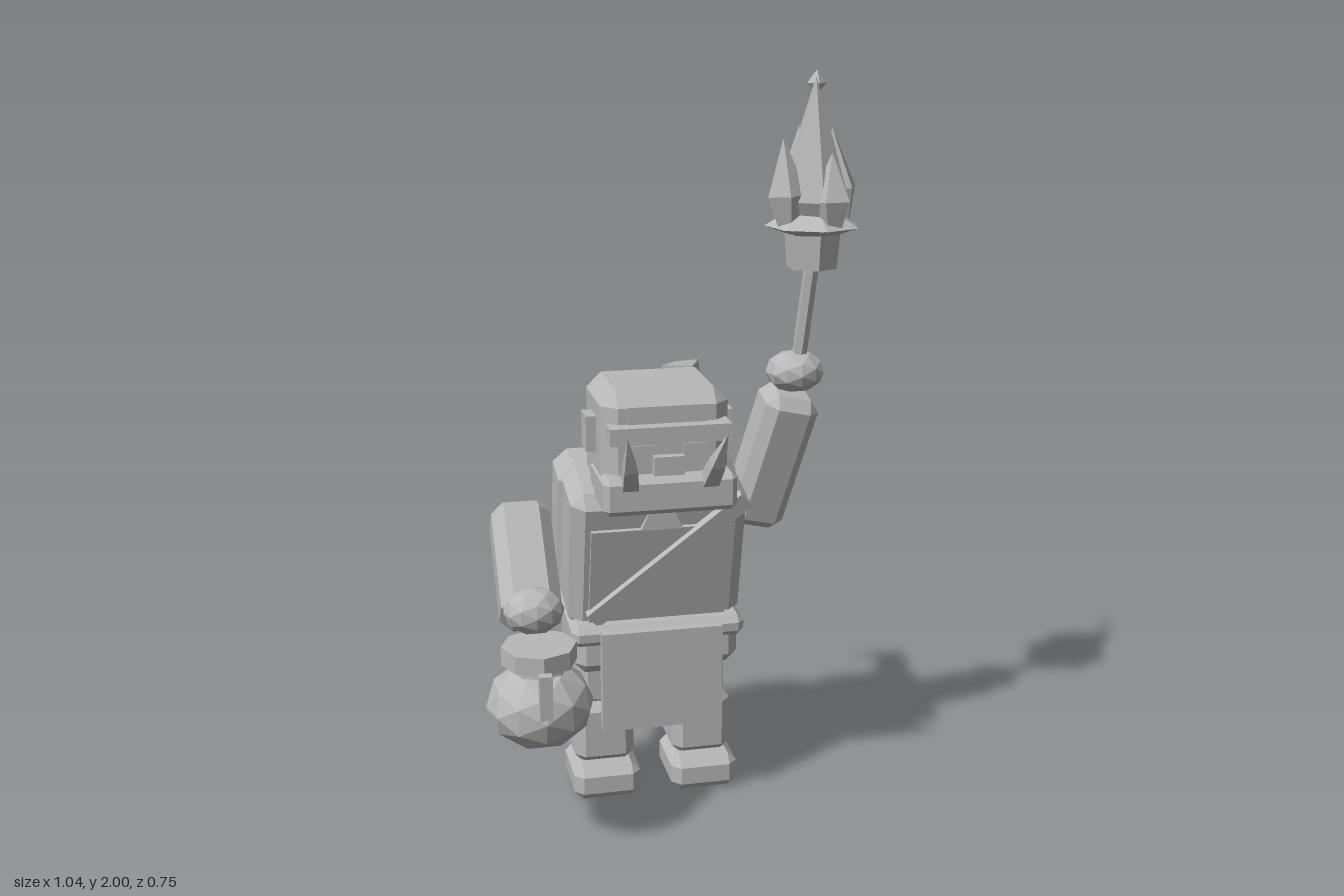
import * as THREE from 'three';
import { ConvexGeometry } from 'three/addons/geometries/ConvexGeometry.js';

const V = (x, y, z) => new THREE.Vector3(x, y, z);

export function createModel() {
  const model = new THREE.Group();
  const grey = new THREE.MeshStandardMaterial({ color: 0xb8b8b8, flatShading: true });
  grey.name = 'stone grey';

  function add(name, geometry, position, parent = model) {
    const mesh = new THREE.Mesh(geometry, grey);
    mesh.name = name;
    mesh.position.copy(position);
    parent.add(mesh);
    return mesh;
  }

  // box with every edge cut off by c
  function chamferBox(w, h, d, c) {
    const pts = [];
    for (const sx of [-1, 1]) for (const sy of [-1, 1]) for (const sz of [-1, 1]) {
      const x = w / 2, y = h / 2, z = d / 2;
      pts.push(V(sx * x, sy * (y - c), sz * (z - c)),
        V(sx * (x - c), sy * y, sz * (z - c)),
        V(sx * (x - c), sy * (y - c), sz * z));
    }
    return new ConvexGeometry(pts);
  }

  // block given by its limits on each axis
  function block(name, [x0, x1], [y0, y1], [z0, z1], c = 0, parent = model) {
    const size = [x1 - x0, y1 - y0, z1 - z0];
    const geometry = c ? chamferBox(...size, c) : new THREE.BoxGeometry(...size);
    return add(name, geometry, V((x0 + x1) / 2, (y0 + y1) / 2, (z0 + z1) / 2), parent);
  }

  // turns a mesh so that its y axis runs from a to b
  function aim(mesh, a, b) {
    mesh.position.copy(a).lerp(b, 0.5);
    mesh.quaternion.setFromUnitVectors(V(0, 1, 0), b.clone().sub(a).normalize());
    return mesh;
  }

  // bent spike: four-sided rings along a path, shrinking to a point
  function spike(name, path, radii) {
    const pos = [], index = [], n = 4;
    path.forEach((p, i) => {
      const dir = path[Math.min(i + 1, path.length - 1)].clone().sub(path[Math.max(i - 1, 0)]).normalize();
      const side = V(1, 0, 0).addScaledVector(dir, -dir.x).normalize();
      const up = dir.clone().cross(side);
      for (let k = 0; k < n; k++) {
        const a = (k + 0.5) / n * Math.PI * 2;
        const q = p.clone().addScaledVector(side, Math.cos(a) * radii[i]).addScaledVector(up, Math.sin(a) * radii[i]);
        pos.push(q.x, q.y, q.z);
        if (i) {
          const b = i * n + k, b2 = i * n + (k + 1) % n;
          index.push(b - n, b2 - n, b2, b - n, b2, b);
        }
      }
    });
    index.push(0, 2, 1, 0, 3, 2);
    const geometry = new THREE.BufferGeometry();
    geometry.setAttribute('position', new THREE.Float32BufferAttribute(pos, 3));
    geometry.setIndex(index);
    geometry.computeVertexNormals();
    return add(name, geometry, V(0, 0, 0));
  }

  // double-ended cone used for flames
  const flameShape = (r, h, sides, belly = 0.25) =>
    new THREE.LatheGeometry([[0.001, 0], [r * 0.55, 0.01], [r, h * belly], [0.001, h]]
      .map(p => new THREE.Vector2(...p)), sides);

  // legs
  for (const x of [-0.17, 0.11]) {
    block('boot', [x - 0.095, x + 0.095], [0, 0.1], [-0.205, 0.007], 0.025);
    block('shin', [x - 0.085, x + 0.085], [0.09, 0.28], [-0.21, -0.037], 0.028);
    block('thigh', [x - 0.07, x + 0.07], [0.26, 0.45], [-0.195, -0.055], 0.025);
  }

  // hips, belt and cloth
  block('hips', [-0.26, 0.2], [0.39, 0.53], [-0.27, 0.015], 0.03);
  block('belt', [-0.27, 0.21], [0.49, 0.55], [-0.285, 0.04], 0.018).rotation.x = 0.06;
  block('loincloth', [-0.195, 0.14], [0.245, 0.53], [0.037, 0.068]);

  // leaning upper body
  const torso = new THREE.Group();
  torso.name = 'torso';
  torso.position.set(-0.03, 0.55, -0.13);
  torso.rotation.x = 0.23;
  model.add(torso);
  block('chest', [-0.24, 0.24], [-0.02, 0.405], [-0.15, 0.118], 0.035, torso);
  block('chestPlate', [-0.19, 0.19], [0.01, 0.31], [0.1, 0.13], 0, torso);
  for (const s of [-1, 1]) {
    const panel = block('backPanel', [-0.105, 0.105], [-0.02, 0.4], [-0.212, -0.03], 0.038, torso);
    panel.position.x = s * 0.145;
  }
  block('backSpine', [-0.05, 0.05], [0, 0.36], [-0.185, -0.06], 0.02, torso);
  const strap = add('chestStrap', new THREE.BoxGeometry(0.05, 0.54, 0.025), V(0.02, 0.215, 0.137), torso);
  strap.rotation.z = -0.85;
  const collar = add('collarTrim', new THREE.CylinderGeometry(0.035, 0.08, 0.07, 4, 1, false, Math.PI / 4), V(0, 0.345, 0.105), torso);
  collar.scale.z = 0.5;

  // head and face
  block('head', [-0.2, 0.138], [0.9, 1.217], [-0.15, 0.14], 0.04);
  block('jaw', [-0.205, 0.148], [0.9, 1.0], [-0.04, 0.183], 0.015);
  block('brow', [-0.188, 0.13], [1.09, 1.135], [0.1, 0.183]);
  block('foreheadBand', [-0.135, 0.075], [1.135, 1.18], [0.1, 0.147]);
  block('nose', [-0.07, 0.01], [1.0, 1.05], [0.12, 0.165]);
  for (const s of [-1, 1]) {
    const x = -0.03 + s * 0.18;
    block('ear', [x - 0.017, x + 0.017], [1.04, 1.135], [-0.032, 0.042]);
    const ex = -0.03 + s * 0.073;
    block('eye', [ex - 0.033, ex + 0.033], [1.045, 1.078], [0.138, 0.147]);
    spike('tusk', [V(-0.03 + s * 0.105, 0.98, 0.165), V(-0.03 + s * 0.113, 1.04, 0.215),
      V(-0.03 + s * 0.128, 1.13, 0.265)], [0.03, 0.025, 0.001]);
  }
  spike('hairTail', [V(0.055, 1.175, -0.13), V(0.12, 1.165, -0.28), V(0.095, 1.02, -0.375)], [0.06, 0.045, 0.001]);

  // raised arm
  aim(add('raisedArm', chamferBox(0.15, 0.4, 0.15, 0.03), V(0, 0, 0)), V(0.262, 0.78, -0.11), V(0.347, 1.15, -0.03));
  add('raisedHand', new THREE.IcosahedronGeometry(0.08, 1).scale(1, 0.72, 0.97), V(0.355, 1.213, -0.025));

  // torch
  aim(add('torchShaft', new THREE.CylinderGeometry(0.02, 0.02, 0.32, 6), V(0, 0, 0)), V(0.36, 1.2, -0.025), V(0.383, 1.52, 0.018));
  add('torchCup', new THREE.CylinderGeometry(0.075, 0.067, 0.1, 6), V(0.38, 1.55, 0.02));
  add('flameCore', flameShape(0.095, 0.395, 6, 0.22), V(0.38, 1.59, 0.02));
  add('flameRim', new THREE.CylinderGeometry(0.07, 0.125, 0.035, 7), V(0.38, 1.627, 0.02));
  add('flameRimUnder', new THREE.CylinderGeometry(0.125, 0.07, 0.02, 7), V(0.38, 1.6, 0.02));
  const flames = [[0.465, -0.015, 0.255], [0.31, 0.045, 0.235], [0.36, -0.045, 0.26], [0.41, 0.09, 0.2]];
  for (const [x, z, h] of flames) {
    const flame = add('sideFlame', flameShape(0.055, h, 5, 0.4), V(x, 1.6, z));
    flame.rotation.y = x * 20;
    flame.rotation.z = (0.38 - x) * 1.2;
  }
  add('spark', new THREE.OctahedronGeometry(0.033).scale(0.8, 1, 0.8), V(0.405, 1.967, -0.055));

  // lowered arm
  const arm = add('loweredArm', chamferBox(0.16, 0.34, 0.155, 0.033), V(-0.388, 0.715, -0.02));
  arm.rotation.x = -Math.PI / 4;
  add('loweredHand', new THREE.IcosahedronGeometry(0.08, 1).scale(1, 0.78, 0.85), V(-0.39, 0.66, 0.17));

  // round pot
  add('pot', new THREE.IcosahedronGeometry(0.14, 1).scale(1, 0.82, 1), V(-0.388, 0.43, 0.235));
  add('potNeck', new THREE.CylinderGeometry(0.068, 0.075, 0.06, 8), V(-0.388, 0.53, 0.237));
  add('potRim', new THREE.CylinderGeometry(0.098, 0.098, 0.048, 8), V(-0.388, 0.57, 0.237));
  block('potTag', [-0.405, -0.372], [0.44, 0.56], [0.345, 0.37]);

  // blade hung at the hip
  add('bladeGrip', new THREE.BoxGeometry(0.045, 0.1, 0.07), V(0.25, 0.73, -0.248));
  const blade = add('hipBlade', new THREE.CylinderGeometry(0.032, 0.012, 0.32, 4, 1, false, Math.PI / 4), V(0, 0, 0));
  aim(blade, V(0.205, 0.39, -0.228), V(0.24, 0.7, -0.248));

  return model;
}
